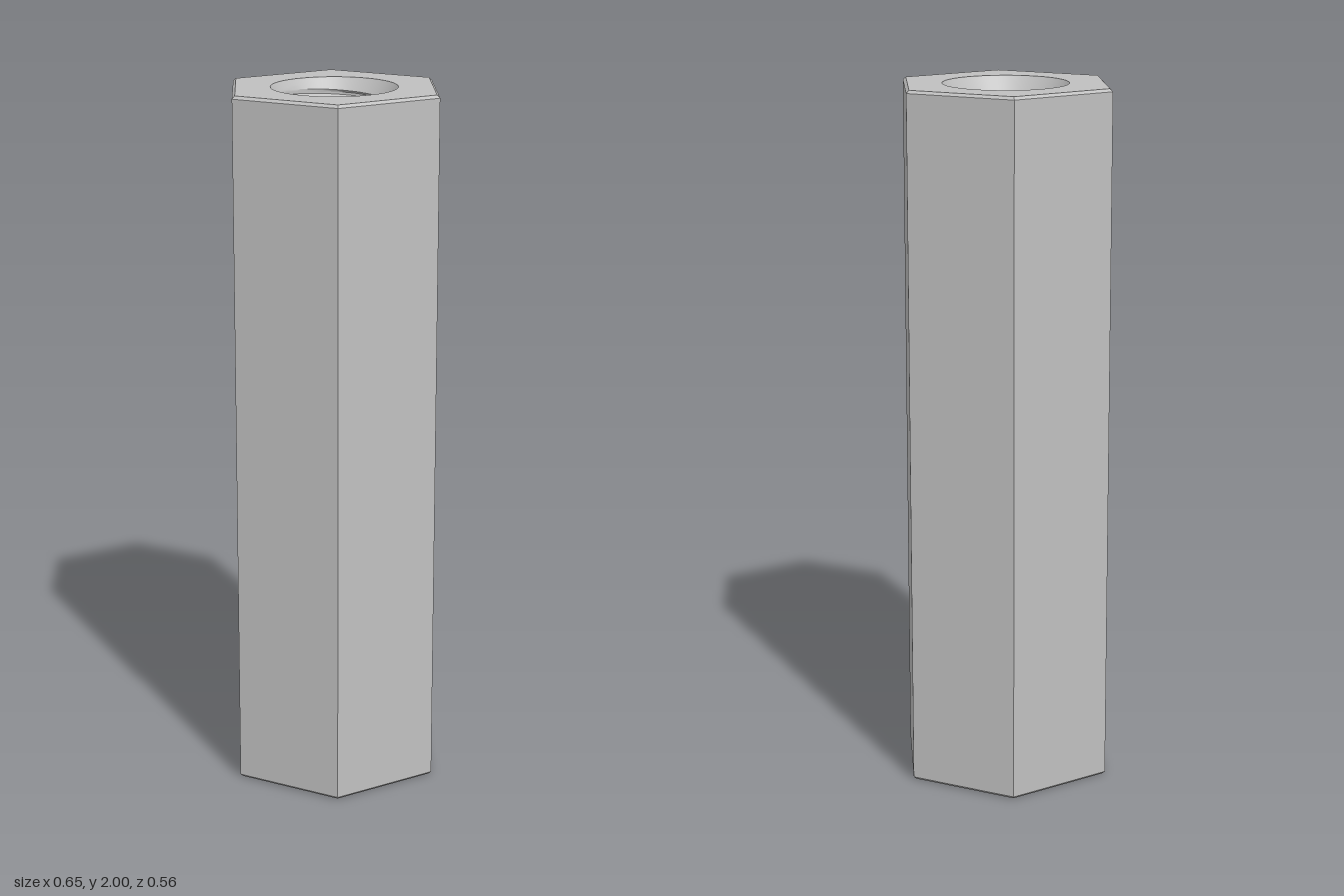
import * as THREE from 'three';
import { toCreasedNormals } from 'three/addons/utils/BufferGeometryUtils.js';

const HEIGHT = 2, HEX_R = 0.323, CHAMFER = 0.008;
const RIM_R = 0.176, SINK_SLOPE = 0.577;            // countersink cone
const MINOR_R = 0.13, MAJOR_R = 0.16, PITCH = 0.056; // internal thread
const SEGMENTS = 72;

// Hexagonal sides with a small bevel at both ends
function hexSides() {
  const inner = HEX_R - CHAMFER * 1.155;
  const profile = [[inner, 0], [HEX_R, CHAMFER], [HEX_R, HEIGHT - CHAMFER], [inner, HEIGHT]]
    .map(([r, y]) => new THREE.Vector2(r, y));
  return toCreasedNormals(new THREE.LatheGeometry(profile, 6, Math.PI / 2), 0.3);
}

// Hexagonal end face with a round opening, facing up
function endFace() {
  const r = HEX_R - CHAMFER * 1.155;
  const corner = (n, i, radius) => {
    const a = (i / n) * Math.PI * 2;
    return new THREE.Vector2(radius * Math.cos(a), radius * Math.sin(a));
  };
  const shape = new THREE.Shape(Array.from({ length: 6 }, (_, i) => corner(6, i, r)));
  shape.holes.push(new THREE.Path(Array.from({ length: SEGMENTS }, (_, i) => corner(SEGMENTS, -i, RIM_R))));
  return new THREE.ShapeGeometry(shape).rotateX(-Math.PI / 2);
}

// Helical bore: a groove profile swept around the axis, opened out by a cone at each end
function threadedBore() {
  // One pitch of the groove: [height offset, radius]
  const corners = [[-0.375, MINOR_R], [-0.0625, MAJOR_R], [0.0625, MAJOR_R], [0.375, MINOR_R], [0.625, MINOR_R]];
  const steps = 3, rows = [];
  const turns = Math.ceil(HEIGHT / PITCH) + 3;
  for (let t = 0; t < turns; t++) {
    for (let c = 0; c < 4; c++) {
      for (let s = 0; s < steps; s++) {
        const k = s / steps;
        rows.push([
          (t + THREE.MathUtils.lerp(corners[c][0], corners[c + 1][0], k)) * PITCH,
          THREE.MathUtils.lerp(corners[c][1], corners[c + 1][1], k),
        ]);
      }
    }
  }
  const start = 1.953 - (turns - 2) * PITCH - PITCH / 4;
  const positions = [], heights = [], index = [];
  for (let i = 0; i <= SEGMENTS; i++) {
    const turn = i / SEGMENTS, a = turn * Math.PI * 2;
    for (const [offset, radius] of rows) {
      const y = THREE.MathUtils.clamp(start + offset + turn * PITCH, 0, HEIGHT);
      const cone = RIM_R - SINK_SLOPE * Math.min(y, HEIGHT - y);
      const r = Math.max(radius, cone);
      positions.push(r * Math.cos(a), y, -r * Math.sin(a));
      heights.push(y);
    }
  }
  const n = rows.length;
  const triangle = (a, b, c) => {
    // Skip triangles flattened onto an end
    const flat = heights[a] === heights[b] && heights[b] === heights[c];
    if (!flat) index.push(a, b, c);
  };
  for (let i = 0; i < SEGMENTS; i++) {
    for (let j = 0; j < n - 1; j++) {
      const a = i * n + j, b = a + n;
      triangle(a, a + 1, b);
      triangle(b, a + 1, b + 1);
    }
  }
  const geometry = new THREE.BufferGeometry();
  geometry.setAttribute('position', new THREE.Float32BufferAttribute(positions, 3));
  geometry.setIndex(index);
  return toCreasedNormals(geometry, 0.45);
}

export function createModel() {
  const steel = new THREE.MeshStandardMaterial({ color: 0xc0c0c0 });
  steel.name = 'steel grey';
  const model = new THREE.Group();
  model.name = 'hexStandoff';

  const add = (name, geometry) => {
    const mesh = new THREE.Mesh(geometry, steel);
    mesh.name = name;
    model.add(mesh);
    return mesh;
  };

  add('hexBody', hexSides());
  add('topFace', endFace()).position.y = HEIGHT;
  add('bottomFace', endFace()).rotation.x = Math.PI;
  add('threadedBore', threadedBore());
  return model;
}
